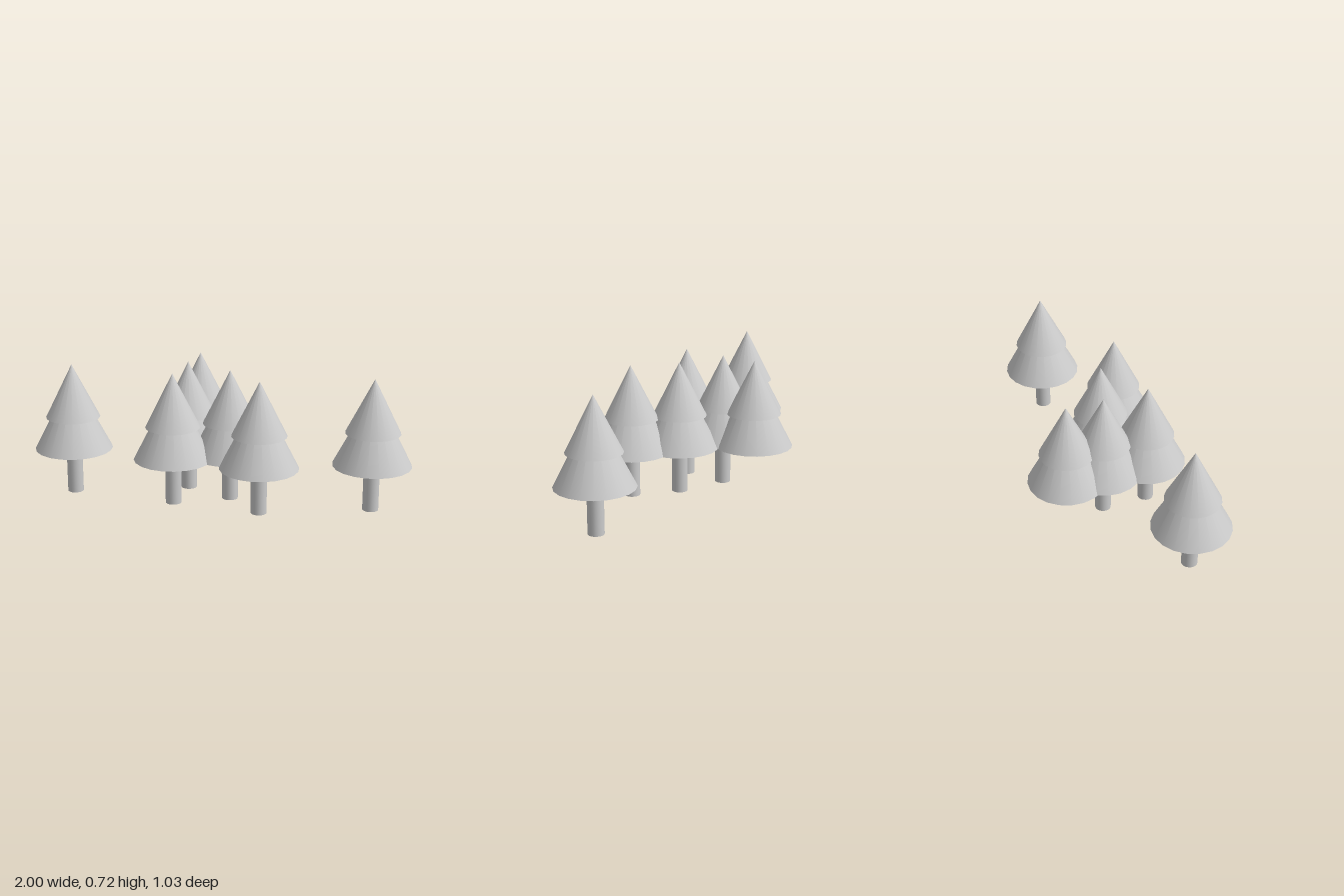
import * as THREE from 'three';

const SIDES = 20;

// [x, z, has trunk]
const TREES = [
  [-0.79, -0.10, true],
  [-0.255, 0.12, true],
  [-0.16, -0.113, true],
  [-0.082, -0.305, false],
  [0.054, 0.075, true],
  [0.188, 0.305, true],
  [0.787, 0.30, true],
];

export function createModel() {
  const material = new THREE.MeshStandardMaterial({ color: 0xcccccc });

  // Shared parts, each moved so it stands at its own height
  const trunkGeo = new THREE.CylinderGeometry(0.043, 0.043, 0.26, SIDES).translate(0, 0.13, 0);
  const lowerGeo = new THREE.ConeGeometry(0.211, 0.41, SIDES).translate(0, 0.25 + 0.205, 0);
  const upperGeo = new THREE.ConeGeometry(0.147, 0.293, SIDES).translate(0, 0.428 + 0.1465, 0);

  const part = (name, geometry) => {
    const mesh = new THREE.Mesh(geometry, material);
    mesh.name = name;
    return mesh;
  };

  const grove = new THREE.Group();
  grove.name = 'grove';
  TREES.forEach(([x, z, hasTrunk], i) => {
    const tree = new THREE.Group();
    tree.name = `tree${i + 1}`;
    tree.position.set(x, 0, z);
    tree.add(part('lowerFoliage', lowerGeo), part('upperFoliage', upperGeo));
    if (hasTrunk) tree.add(part('trunk', trunkGeo));
    grove.add(tree);
  });
  return grove;
}
